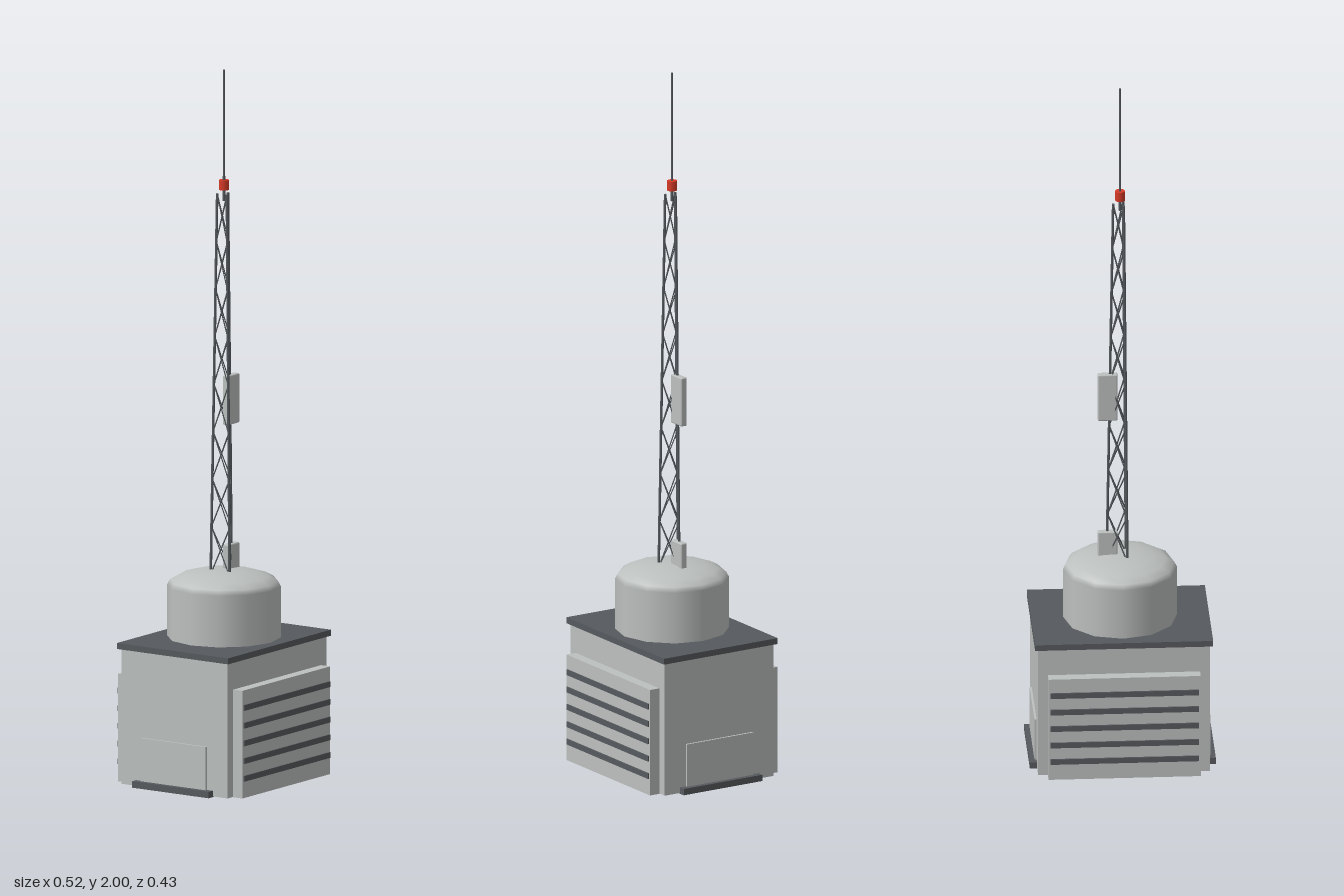
import * as THREE from 'three';
import { RoundedBoxGeometry } from 'three/addons/geometries/RoundedBoxGeometry.js';

const mat = (name, color) => {
  const m = new THREE.MeshStandardMaterial({ color });
  m.name = name;
  return m;
};

export function createModel() {
  const light = mat('lightGrey', 0xbcc0be);
  const dark = mat('darkGrey', 0x565a5e);
  const red = mat('beaconRed', 0xd83a26);
  const model = new THREE.Group();
  model.name = 'radioStation';

  const add = (name, geometry, material, x = 0, y = 0, z = 0, parent = model) => {
    const mesh = new THREE.Mesh(geometry, material);
    mesh.name = name;
    mesh.position.set(x, y, z);
    parent.add(mesh);
    return mesh;
  };
  // box given by its width, bottom, top and depth
  const box = (name, material, w, y0, y1, d, x = 0, z = 0) =>
    add(name, new THREE.BoxGeometry(w, y1 - y0, d), material, x, (y0 + y1) / 2, z);

  // Equipment building
  box('building', light, 0.476, 0.002, 0.385, 0.36);
  box('roof', dark, 0.494, 0.383, 0.4, 0.376);
  box('baseSill', dark, 0.516, 0, 0.018, 0.26);

  // Louvred panels front and back, hatches on both sides
  for (const s of [1, -1]) {
    box('louvrePanel', light, 0.422, 0.001, 0.305, 0.036, 0, s * 0.193);
    for (let i = 0; i < 5; i++) {
      const y = 0.056 + i * 0.05;
      box('louvreSlat', dark, 0.412, y - 0.008, y + 0.008, 0.008, 0, s * 0.211);
    }
    box('sideHatch', light, 0.01, 0.002, 0.14, 0.22, s * 0.239, 0);
  }

  // Twelve-sided drum with a low dome
  add('drum', new THREE.CylinderGeometry(0.158, 0.158, 0.146, 12, 1, true), light, 0, 0.472, 0);
  const dome = add('dome',
    new THREE.SphereGeometry(0.158, 12, 5, 0, Math.PI * 2, 0, Math.PI / 2), light, 0, 0.545, 0);
  dome.scale.y = 0.29;

  // Lattice mast: three tapering legs with crossed braces
  const mast = new THREE.Group();
  mast.name = 'latticeMast';
  model.add(mast);
  const Y0 = 0.575, Y1 = 1.65, BAYS = 8;
  const node = (leg, t) => {
    const a = leg * Math.PI * 2 / 3;
    const r = 0.037 + (0.019 - 0.037) * t;
    return new THREE.Vector3(r * Math.cos(a), Y0 + (Y1 - Y0) * t, r * Math.sin(a));
  };
  const up = new THREE.Vector3(0, 1, 0);
  const strut = (name, a, b, radius, sides) => {
    const dir = b.clone().sub(a);
    const mid = a.clone().add(b).multiplyScalar(0.5);
    const mesh = add(name, new THREE.CylinderGeometry(radius, radius, dir.length(), sides),
      dark, mid.x, mid.y, mid.z, mast);
    mesh.quaternion.setFromUnitVectors(up, dir.normalize());
  };
  for (let leg = 0; leg < 3; leg++) {
    const next = (leg + 1) % 3;
    strut('mastLeg', node(leg, 0), node(leg, 1), 0.004, 6);
    for (let i = 0; i < BAYS; i++) {
      const t0 = i / BAYS, t1 = (i + 1) / BAYS;
      strut('mastBrace', node(leg, t0), node(next, t1), 0.002, 4);
      strut('mastBrace', node(next, t0), node(leg, t1), 0.002, 4);
    }
  }

  // Panel antennas on the mast
  for (const y of [1.065, 0.588]) {
    add('panelAntenna', new RoundedBoxGeometry(0.055, 0.14, 0.02, 2, 0.004), light, 0.0345, y, 0);
  }

  // Beacon and whip aerial
  add('beacon', new THREE.CylinderGeometry(0.014, 0.014, 0.028, 10), red, 0, 1.675, 0);
  add('whipAerial', new THREE.CylinderGeometry(0.003, 0.004, 0.37, 6), dark, 0, 1.815, 0);

  return model;
}
